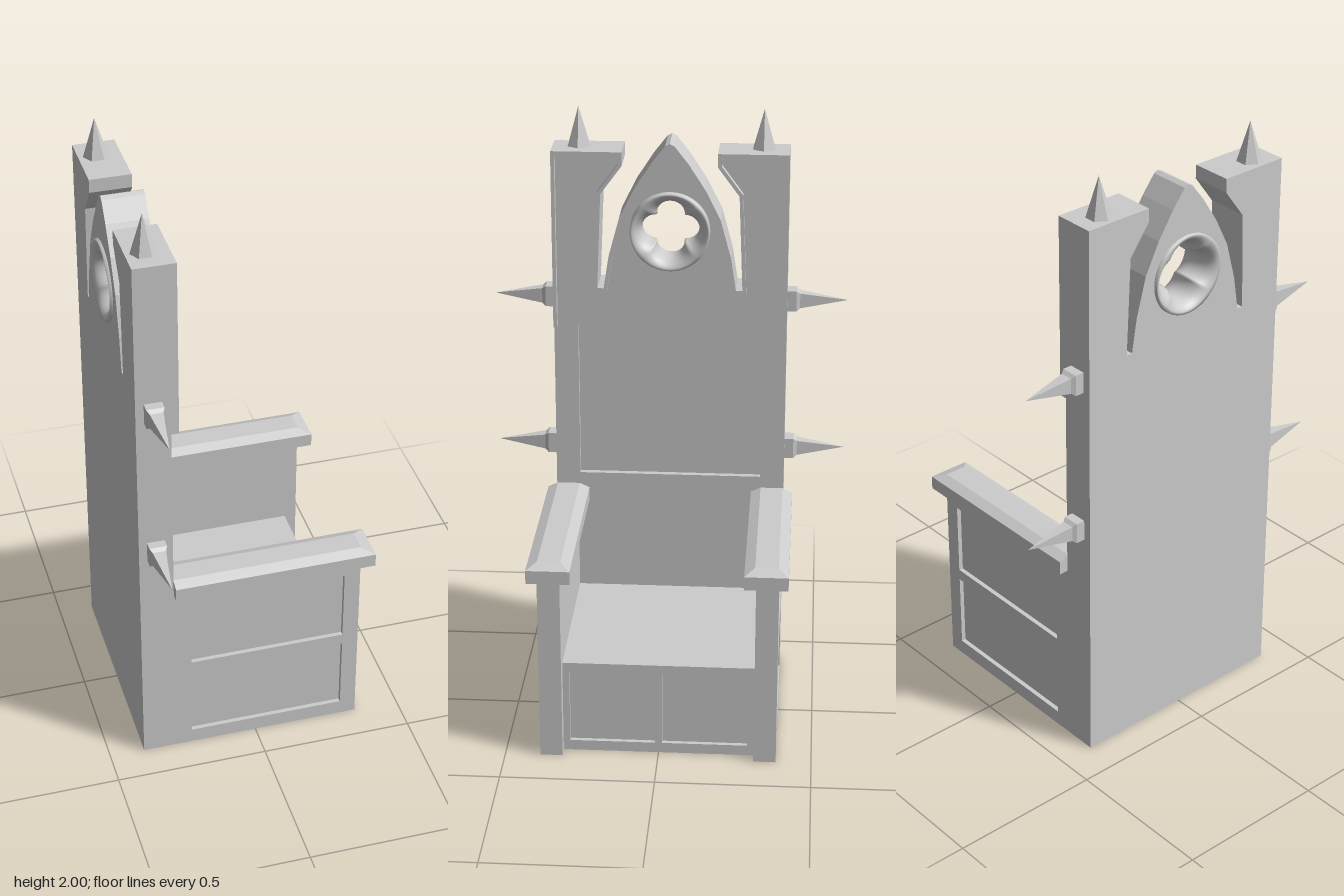
import * as THREE from 'three';

const flat = new THREE.MeshStandardMaterial({ color: 0xcccccc, flatShading: true });
const smooth = new THREE.MeshStandardMaterial({ color: 0xcccccc, side: THREE.DoubleSide });

const V = (p) => new THREE.Vector2(p[0], p[1]);
const rect = (x0, y0, x1, y1) => [[x0, y0], [x1, y0], [x1, y1], [x0, y1]];

function add(parent, name, geometry, material = flat) {
  const mesh = new THREE.Mesh(geometry, material);
  mesh.name = name;
  parent.add(mesh);
  return mesh;
}

// Flat plate with openings, given by corner points
function plate(points, holes, depth) {
  const shape = new THREE.Shape(points.map(V));
  holes.forEach((h) => shape.holes.push(new THREE.Path(h.map(V))));
  return new THREE.ExtrudeGeometry(shape, { depth, bevelEnabled: false });
}

// Plate standing across the chair, between two x positions
const crossPlate = (points, holes, x0, x1) =>
  plate(points, holes, x1 - x0).rotateY(Math.PI / 2).translate(x0, 0, 0);

function box(x0, x1, y0, y1, z0, z1) {
  return new THREE.BoxGeometry(x1 - x0, y1 - y0, z1 - z0)
    .translate((x0 + x1) / 2, (y0 + y1) / 2, (z0 + z1) / 2);
}

const mirrorPath = (half) =>
  [...half, ...half.filter((p) => p[0] !== 0).reverse().map(([x, y]) => [-x, y])];

// Strip of even width along the inner (left) side of an open path
function strip(path, w) {
  const pts = path.map(V);
  const normal = (a, b) => new THREE.Vector2(a.y - b.y, b.x - a.x).normalize();
  const inner = pts.map((p, i) => {
    const n0 = normal(pts[Math.max(i - 1, 0)], pts[Math.max(i, 1)]);
    const n1 = i < pts.length - 1 ? normal(p, pts[i + 1]) : n0;
    const m = n0.clone().add(n1);
    return p.clone().addScaledVector(m, (2 * w) / Math.max(m.lengthSq(), 1));
  });
  return [...path, ...inner.reverse().map((p) => [p.x, p.y])];
}

// Rounded round window whose throat narrows to a four-lobed opening
function windowRing() {
  const cols = 96, steps = 16, cy = 1.605, R = 0.13, d = 0.048, lobe = 0.045;
  const rows = [[-0.38, -0.02]];
  for (let i = 0; i <= steps; i++) {
    const a = (Math.PI * i) / steps;
    rows.push([-0.32 - 0.075 * Math.cos(a), Math.sin(a)]);
  }
  rows.push([-0.27, -0.02]);
  const pos = [], idx = [];
  rows.forEach(([x, k], i) => {
    for (let j = 0; j < cols; j++) {
      const t = (j / cols) * Math.PI * 2;
      const q = t - Math.round(t / (Math.PI / 2)) * (Math.PI / 2);
      const foil = d * Math.cos(q) + Math.sqrt(lobe * lobe - (d * Math.sin(q)) ** 2);
      const r = R + (foil - R) * k;
      pos.push(x, cy + r * Math.sin(t), r * Math.cos(t));
      if (i < rows.length - 1) {
        const n = (j + 1) % cols, a = i * cols + j, b = a + cols;
        const c = i * cols + n, e = c + cols;
        idx.push(a, c, b, c, e, b);
      }
    }
  });
  const g = new THREE.BufferGeometry();
  g.setAttribute('position', new THREE.Float32BufferAttribute(pos, 3));
  g.setIndex(idx);
  g.computeVertexNormals();
  return g;
}

// Armrest cap with a bevelled top, square at the back end
function armCap(s) {
  const g = new THREE.BoxGeometry(0.665, 0.06, 0.14, 1, 2, 1);
  const p = g.attributes.position;
  for (let i = 0; i < p.count; i++) {
    if (Math.abs(p.getY(i)) < 0.001) p.setY(i, 0.015);
    else if (p.getY(i) > 0) {
      p.setZ(i, p.getZ(i) * 0.53);
      if (p.getX(i) > 0) p.setX(i, p.getX(i) - 0.04);
    }
  }
  return g.translate(0.0575, 0.67, s * 0.345);
}

function createModel() {
  const chair = new THREE.Group();
  chair.name = 'throne';

  // Tall back: two pillars either side of a pointed gable
  const crest = mirrorPath([
    [0.385, 1.27], [0.385, 1.87], [0.155, 1.87], [0.155, 1.825], [0.225, 1.73],
    [0.238, 1.41], [0.217, 1.41], [0.2, 1.52], [0.165, 1.65], [0.115, 1.75],
    [0.06, 1.835], [0.015, 1.893], [0, 1.9],
  ]);
  const outline = [[-0.385, 0], [0.385, 0], ...crest];
  const circle = [];
  for (let i = 0; i < 48; i++) {
    const t = (i / 48) * Math.PI * 2;
    circle.push([0.125 * Math.cos(t), 1.605 + 0.125 * Math.sin(t)]);
  }
  const backPanel = mirrorPath([[0.305, 0.74], [0.305, 1.27], [0.15, 1.35], [0.07, 1.37], [0, 1.375]]);
  const back = new THREE.Group();
  back.name = 'back';
  chair.add(back);
  add(back, 'backBoard', crossPlate(outline, [circle], -0.385, -0.295));
  add(back, 'backFrame', crossPlate(outline, [circle, backPanel], -0.295, -0.275));
  add(back, 'crestRim', crossPlate(strip(crest, 0.012), [], -0.275, -0.25));
  add(back, 'roundWindow', windowRing(), smooth);

  // Seat box with two sunken front panels
  add(chair, 'seat', box(-0.28, 0.295, 0, 0.32, -0.312, 0.312));
  add(chair, 'seatFront', crossPlate(rect(-0.312, 0, 0.312, 0.32),
    [rect(-0.29, 0.035, -0.012, 0.288), rect(0.012, 0.035, 0.29, 0.288)], 0.295, 0.31));

  for (const s of [1, -1]) {
    const side = new THREE.Group();
    side.name = s > 0 ? 'leftSide' : 'rightSide';
    chair.add(side);

    // Arm with two sunken outer panels and a cap
    add(side, 'armCore', box(-0.28, 0.35, 0, 0.645, s * 0.341 - 0.029, s * 0.341 + 0.029));
    add(side, 'armPanels', plate(rect(-0.28, 0, 0.35, 0.645),
      [rect(-0.22, 0.05, 0.297, 0.307), rect(-0.22, 0.345, 0.297, 0.595)], 0.015)
      .translate(0, 0, s > 0 ? 0.37 : -0.385));
    add(side, 'armCap', armCap(s));

    // Spike on top of the pillar
    add(side, 'topSpike', new THREE.ConeGeometry(0.04, 0.13, 6, 1, false, Math.PI / 2)
      .translate(-0.33, 1.935, s * 0.3));

    // Square-based spikes on the pillar side
    for (const y of [0.835, 1.36]) {
      const profile = [[0.049, -0.01], [0.049, 0.03], [0.036, 0.042], [0, 0.2]].map(V);
      add(side, 'sideSpike', new THREE.LatheGeometry(profile, 4, Math.PI / 4)
        .scale(0.82, 1, 1).rotateX((s * Math.PI) / 2).translate(-0.33, y, s * 0.385));
    }
  }
  return chair;
}

export { createModel };
